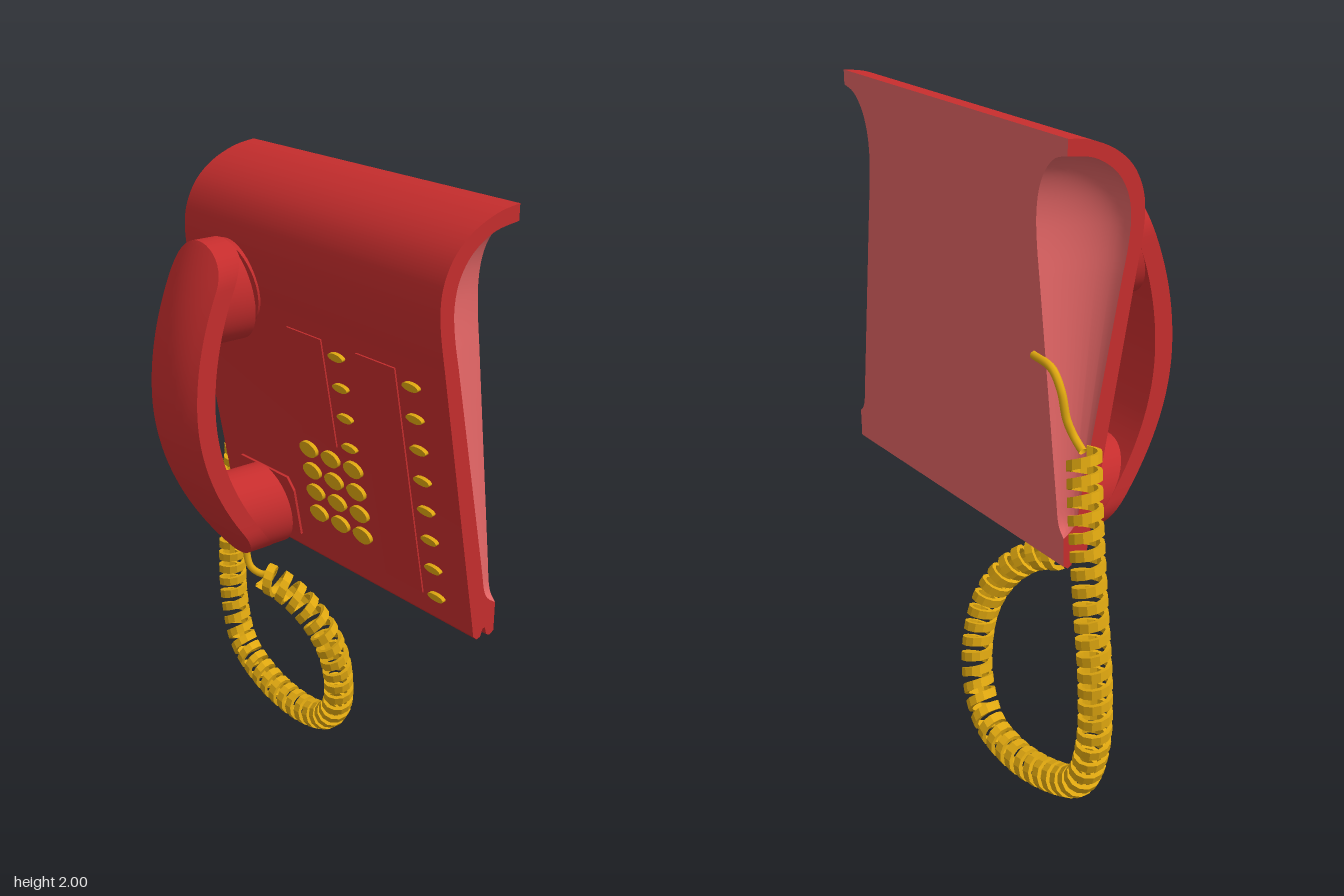
import * as THREE from 'three';
import { toCreasedNormals } from 'three/addons/utils/BufferGeometryUtils.js';

const RED = 0xc62d2d, PINK = 0xe06464, GOLD = 0xe0a810;
const X0 = -0.43, X1 = 0.69, BACK = -0.195;   // housing sides and back plane
const TILT = 0.19, HX = -0.215;               // face tilt, handset centre

const panelZ = (y) => 0.06 + (y - 1.7) * 0.192;

function makeMesh(name, geometry, color, double = false) {
  const material = new THREE.MeshStandardMaterial({ color });
  if (double) material.side = THREE.DoubleSide;
  const mesh = new THREE.Mesh(geometry, material);
  mesh.name = name;
  return mesh;
}

// Surface through rows of points; closed joins each row into a ring
function loft(rows, closed = false, crease = 0.6) {
  const n = rows[0].length, index = [];
  for (let i = 0; i < rows.length - 1; i++) {
    for (let j = 0; j < (closed ? n : n - 1); j++) {
      const k = (j + 1) % n;
      const a = i * n + j, b = i * n + k, c = a + n, d = b + n;
      index.push(a, b, d, a, d, c);
    }
  }
  const g = new THREE.BufferGeometry();
  g.setAttribute('position', new THREE.Float32BufferAttribute(rows.flat(2), 3));
  g.setIndex(index);
  return toCreasedNormals(g, crease);
}

const spline = (pts, n) =>
  new THREE.SplineCurve(pts.map((p) => new THREE.Vector2(...p))).getPoints(n).map((p) => [p.x, p.y]);

function createHousing() {
  const group = new THREE.Group();
  group.name = 'housing';
  // Side profiles as [z, y], from the top rear over the front to the bottom rear
  const outer = [
    ...spline([[BACK, 2], [-0.12, 1.987], [-0.04, 1.953], [0.02, 1.903], [0.055, 1.84], [0.066, 1.775], [0.06, 1.7], [0.041, 1.6]], 28),
    [-0.108, 0.825], [-0.115, 0.785], [-0.128, 0.772], [-0.143, 0.776], [-0.151, 0.8],
    [-0.16, 0.8], [-0.167, 0.776], [-0.18, 0.77], [BACK, 0.78],
  ];
  const inner = [
    ...spline([[BACK, 1.955], [-0.11, 1.94], [-0.04, 1.898], [0.002, 1.84], [0.018, 1.77], [0.012, 1.69], [-0.007, 1.6]], 24),
    ...spline([[-0.138, 0.97], [-0.148, 0.92], [-0.165, 0.89], [BACK, 0.87]], 8),
  ];
  group.add(makeMesh('frontShell', loft([X0, X1].map((x) => outer.map(([z, y]) => [x, y, z]))), RED, true));

  // Rear: flat in the middle, hollowed by a cove along each side
  const contour = [outer[0], ...inner, outer[outer.length - 1]];
  const coveRow = (edge, dir, angle) => contour.map(([z, y]) => {
    const depth = z - BACK;
    return [edge + dir * 0.62 * depth * Math.sin(angle), y, BACK + depth * Math.cos(angle)];
  });
  const angles = Array.from({ length: 11 }, (_, i) => (i / 10) * Math.PI / 2);
  const rows = [
    ...angles.map((a) => coveRow(X1, -1, a)),
    ...[...angles].reverse().map((a) => coveRow(X0, 1, a)),
  ];
  group.add(makeMesh('rearShell', loft(rows), PINK, true));

  // Side rims between the two profiles
  for (const [edge, s] of [[X0, 1], [X1, -1]]) {
    const pts = [...outer, ...[...inner].reverse()].map(([z, y]) => new THREE.Vector2(s * z, y));
    const g = new THREE.ShapeGeometry(new THREE.Shape(pts));
    g.rotateY(-s * Math.PI / 2).translate(edge, 0, 0);
    group.add(makeMesh('sideRim', g, RED));
  }
  return group;
}

// Stands a part on the sloping face
function onFace(mesh, x, y) {
  mesh.position.set(x, y, panelZ(y));
  mesh.rotation.x = TILT;
  return mesh;
}

function createFace() {
  const group = new THREE.Group();
  group.name = 'face';
  // Label plates
  for (const [xa, xb, ya, yb] of [[0.03, 0.185, 1.22, 1.56], [0.335, 0.495, 0.85, 1.56]]) {
    const g = new THREE.BoxGeometry(xb - xa, (yb - ya) * 1.018, 0.01);
    group.add(onFace(makeMesh('labelPlate', g, RED), (xa + xb) / 2, (ya + yb) / 2));
  }
  // Oval buttons
  const button = (name, x, y, rx, ry) => {
    const g = new THREE.CylinderGeometry(1, 1, 0.024, 24).rotateX(Math.PI / 2).scale(rx, ry, 1);
    group.add(onFace(makeMesh(name, g, GOLD), x, y));
  };
  for (let i = 0; i < 4; i++) button('shortColumnButton', 0.25, 1.525 - i * 0.095, 0.032, 0.012);
  for (let i = 0; i < 8; i++) button('longColumnButton', 0.557, 1.525 - i * 0.0945, 0.032, 0.012);
  for (let r = 0; r < 4; r++) {
    for (let c = 0; c < 3; c++) button('keypadButton', 0.047 + c * 0.102, 1.17 - r * 0.074, 0.039, 0.025);
  }
  // Cradle seats behind the two ends of the handset
  const upper = new THREE.CylinderGeometry(0.135, 0.135, 0.016, 40).rotateX(Math.PI / 2);
  group.add(onFace(makeMesh('upperCradle', upper, RED), HX, 1.64));
  const lower = new THREE.Shape([[-0.145, -0.1], [0.145, -0.1], [0.145, 0.06], [0.12, 0.1], [-0.12, 0.1], [-0.145, 0.06]]
    .map((p) => new THREE.Vector2(...p)));
  const lowerGeo = new THREE.ExtrudeGeometry(lower, { depth: 0.016, bevelEnabled: false }).translate(0, 0, -0.008);
  group.add(onFace(makeMesh('lowerCradle', lowerGeo, RED), HX, 0.925));
  return group;
}

function createHandset() {
  const group = new THREE.Group();
  group.name = 'handset';
  const R = 0.12, yLow = 0.755, yHigh = 1.78;
  const front = (y) => 0.302 - (y > 1.31 ? 0.62 : 0.85) * (y - 1.31) ** 2;
  const rest = (y) => panelZ(y) + 0.012;

  // Bowed grip: round-ended outline with a crowned front
  const stations = [];
  for (let i = 0; i <= 10; i++) {
    const a = (i / 10) * Math.PI / 2;
    stations.push([yLow + R * (1 - Math.cos(a)), R * Math.sin(a)]);
  }
  for (let i = 1; i < 24; i++) stations.push([yLow + R + (i / 24) * (yHigh - yLow - 2 * R), R]);
  for (let i = 10; i >= 0; i--) {
    const a = (i / 10) * Math.PI / 2;
    stations.push([yHigh - R * (1 - Math.cos(a)), R * Math.sin(a)]);
  }
  const rows = stations.map(([y, w]) => {
    const ring = [];
    for (let u = -5; u <= 5; u++) {
      const x = (u / 5) * w;
      ring.push([HX + x, y, front(y) - 0.035 * (x / R) ** 2]);
    }
    const zBack = Math.max(front(y) - 0.1, rest(y));
    for (let u = 5; u >= -5; u--) ring.push([HX + (u / 5) * w, y, zBack]);
    return ring;
  });
  group.add(makeMesh('grip', loft(rows, true), RED, true));

  // Oval ear and mouth cups, cut to the slope of the face
  for (const [name, ya, yb] of [['earCup', 1.465, 1.775], ['mouthCup', 0.755, 1.03]]) {
    const g = new THREE.CylinderGeometry(1, 1, 1, 48).rotateX(Math.PI / 2);
    g.scale(R, (yb - ya) / 2, 1).translate(HX, (ya + yb) / 2, 0);
    const p = g.attributes.position;
    for (let i = 0; i < p.count; i++) {
      const y = p.getY(i);
      p.setZ(i, p.getZ(i) > 0 ? front(y) - 0.06 : rest(y));
    }
    group.add(makeMesh(name, toCreasedNormals(g, 0.6), RED));
  }
  return group;
}

function createCord() {
  const group = new THREE.Group();
  group.name = 'cord';
  const curve = (pts) => new THREE.CatmullRomCurve3(pts.map((p) => new THREE.Vector3(...p)));

  // Coiled flat band
  const path = curve([
    [-0.18, 0.655, -0.03], [-0.12, 0.635, -0.06], [-0.04, 0.56, -0.11], [0.01, 0.45, -0.155], [0.015, 0.32, -0.19],
    [-0.02, 0.18, -0.215], [-0.11, 0.085, -0.235], [-0.25, 0.053, -0.24], [-0.43, 0.08, -0.24], [-0.58, 0.16, -0.245],
    [-0.645, 0.32, -0.25], [-0.65, 0.52, -0.25], [-0.615, 0.78, -0.245], [-0.565, 1.0, -0.225], [-0.515, 1.17, -0.195],
  ]);
  const turns = 46, n = turns * 12;
  const frames = path.computeFrenetFrames(n);
  const rows = [];
  for (let i = 0; i <= n; i++) {
    const a = (i / 12) * Math.PI * 2, c = path.getPointAt(i / n), t = frames.tangents[i];
    const out = frames.normals[i].clone().multiplyScalar(Math.cos(a)).addScaledVector(frames.binormals[i], Math.sin(a));
    rows.push([[0.05, 1], [0.05, -1], [0.037, -1], [0.037, 1]].map(([r, s]) =>
      c.clone().addScaledVector(out, r).addScaledVector(t, s * 0.014).toArray()));
  }
  group.add(makeMesh('coil', loft(rows, true, 0.5), GOLD, true));

  // Plain leads to the handset and to the rear of the housing
  const leads = {
    handsetLead: [[-0.225, 0.79, 0], [-0.225, 0.73, 0], [-0.21, 0.685, -0.005], [-0.18, 0.665, -0.025], [-0.15, 0.67, -0.045]],
    housingLead: [[-0.51, 1.17, -0.195], [-0.465, 1.195, -0.19], [-0.445, 1.24, -0.2], [-0.425, 1.32, -0.205], [-0.385, 1.37, -0.205], [-0.29, 1.38, -0.198]],
  };
  for (const [name, pts] of Object.entries(leads)) {
    group.add(makeMesh(name, new THREE.TubeGeometry(curve(pts), 24, 0.012, 8), GOLD, true));
  }
  return group;
}

export function createModel() {
  const model = new THREE.Group();
  model.name = 'wallTelephone';
  model.add(createHousing(), createFace(), createHandset(), createCord());
  return model;
}
